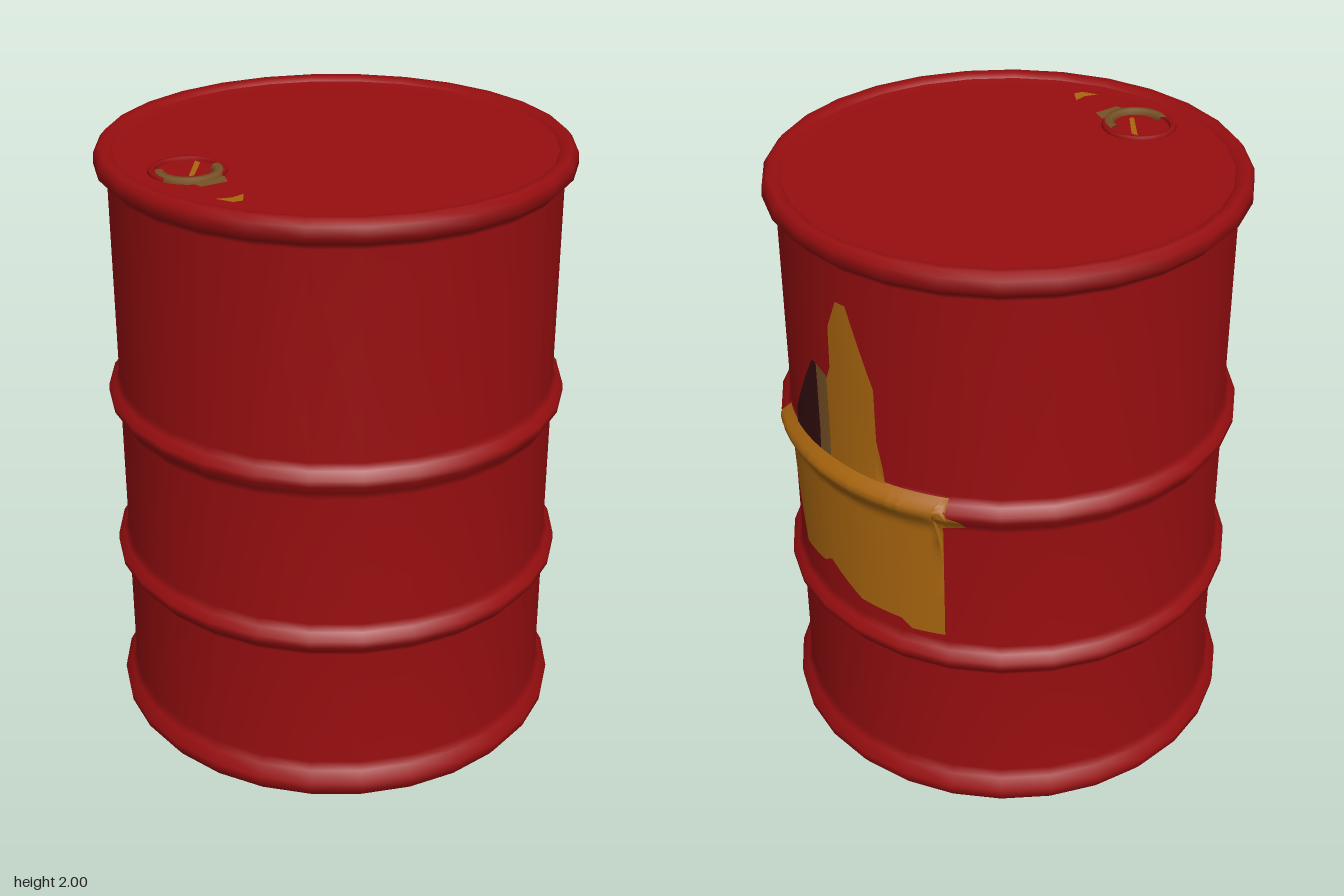
import * as THREE from 'three';

const SIDES = 28;
const mat = (name, color, side = THREE.FrontSide) => {
  const m = new THREE.MeshStandardMaterial({ color, side });
  m.name = name;
  return m;
};

// Barrel wall profile: [radius, height], bottom to top, with two hoops
const WALL = [
  [0.735, 0.0], [0.757, 0.03], [0.76, 0.06], [0.735, 0.095], [0.72, 0.12],
  [0.72, 0.54], [0.735, 0.562], [0.755, 0.588], [0.755, 0.61], [0.735, 0.633], [0.72, 0.655],
  [0.72, 1.1], [0.735, 1.13], [0.755, 1.16], [0.755, 1.182], [0.735, 1.205], [0.72, 1.225],
  [0.72, 1.9], [0.735, 1.92], [0.76, 1.945], [0.757, 1.98], [0.74, 2.0],
];

// Linear lookup in a list of [key, value] pairs sorted by falling or rising key
function lookup(list, k) {
  for (let i = 0; i < list.length - 1; i++) {
    const [k0, v0] = list[i], [k1, v1] = list[i + 1];
    if ((k - k0) * (k - k1) <= 0 && k0 !== k1) return v0 + (v1 - v0) * (k - k0) / (k1 - k0);
  }
  return list[list.length - 1][1];
}
const wallRadius = (y) => lookup(WALL.map(([r, h]) => [h, r]), y);

// Painted patch wrapped on the +x wall, between two [z, y] edges
function wallPatch(top, bottom, rows) {
  const z0 = top[0][0], z1 = top[top.length - 1][0];
  const zs = new Set([...top, ...bottom].map((p) => p[0]));
  for (let i = 0; i <= 24; i++) zs.add(z0 + (z1 - z0) * i / 24);
  const cols = [...zs].filter((z) => z <= z0 && z >= z1).sort((a, b) => b - a);
  const pos = [], idx = [];
  cols.forEach((z, i) => {
    const lo = lookup(bottom, z), hi = lookup(top, z);
    for (let j = 0; j <= rows; j++) {
      const y = lo + (hi - lo) * j / rows;
      const r = wallRadius(y) + 0.005;
      pos.push(Math.sqrt(r * r - z * z), y, z);
      if (i < cols.length - 1 && j < rows) {
        const a = i * (rows + 1) + j, b = a + rows + 1;
        idx.push(a, b, b + 1, a, b + 1, a + 1);
      }
    }
  });
  const g = new THREE.BufferGeometry();
  g.setAttribute('position', new THREE.Float32BufferAttribute(pos, 3));
  g.setIndex(idx);
  g.computeVertexNormals();
  return g;
}

// Flat painted plate on the lid from [x, z] corners
function lidPlate(points, y) {
  const g = new THREE.ShapeGeometry(new THREE.Shape(points.map(([x, z]) => new THREE.Vector2(x, -z))));
  return g.rotateX(-Math.PI / 2).translate(0, y, 0);
}

const lathe = (points) =>
  new THREE.LatheGeometry(points.map(([r, y]) => new THREE.Vector2(r, y)), SIDES);

export function createModel() {
  const model = new THREE.Group();
  model.name = 'barrel';
  const red = mat('barrelRed', 0x980e10);
  const yellow = mat('labelYellow', 0xaa660f, THREE.DoubleSide);
  const dark = mat('labelDark', 0x360e10, THREE.DoubleSide);
  const tan = mat('tan', 0x785226, THREE.DoubleSide);
  const add = (name, geometry, material, parent = model) => {
    const m = new THREE.Mesh(geometry, material);
    m.name = name;
    parent.add(m);
    return m;
  };

  // Shell with rolled rims, lid and base
  add('shell', lathe([...WALL, [0.715, 1.998], [0.7, 1.985]]), red);
  add('lid', lathe([[0.7, 1.985], [0.66, 1.98], [0, 1.98]]), red);
  add('base', lathe([[0, 0.015], [0.69, 0.015], [0.715, 0.002], [0.735, 0]]), red);

  // Worn label on the left side
  const label = new THREE.Group();
  label.name = 'label';
  model.add(label);
  add('labelBand', wallPatch(
    [[0.31, 1.19], [0.28, 1.225], [-0.46, 1.222], [-0.48, 1.17], [-0.51, 1.16]],
    [[0.31, 1.1], [0.17, 0.75], [0.03, 0.765], [-0.015, 0.795], [-0.16, 0.715], [-0.31, 0.71],
      [-0.345, 0.68], [-0.44, 0.685], [-0.442, 1.11], [-0.51, 1.13]], 28), yellow, label);
  add('labelSpike', wallPatch(
    [[-0.055, 1.5], [-0.075, 1.55], [-0.078, 1.69], [-0.12, 1.79], [-0.16, 1.79], [-0.185, 1.72],
      [-0.25, 1.54], [-0.252, 1.36], [-0.28, 1.22]],
    [[-0.055, 1.222], [-0.28, 1.219]], 4), yellow, label);
  add('labelShadowShape', wallPatch(
    [[0.18, 1.26], [0.175, 1.28], [0.025, 1.53], [0, 1.53]],
    [[0.18, 1.222], [0, 1.222]], 4), dark, label);
  add('labelStrip', wallPatch(
    [[0, 1.53], [-0.055, 1.51]], [[0, 1.222], [-0.055, 1.222]], 4), tan, label);

  // Bung in the lid with its worn paint
  const bung = new THREE.Group();
  bung.name = 'bung';
  model.add(bung);
  const ring = add('bungRing', new THREE.TorusGeometry(0.11, 0.012, 6, 20).rotateX(Math.PI / 2), red, bung);
  ring.position.set(-0.52, 1.98, -0.01);
  const arc = add('bungCollar', new THREE.TorusGeometry(0.09, 0.02, 6, 14, Math.PI * 1.15).rotateX(Math.PI / 2), tan, bung);
  arc.position.set(-0.525, 1.978, 0.01);
  add('collarPatch', lidPlate([[-0.57, 0.1], [-0.455, 0.1], [-0.47, 0.15], [-0.56, 0.15]], 1.984), tan, bung);
  add('bungStreak', lidPlate([[-0.545, 0.045], [-0.53, 0.05], [-0.455, -0.05], [-0.46, -0.075]], 1.984), yellow, bung);
  add('paintTip', lidPlate([[-0.575, 0.265], [-0.545, 0.315], [-0.515, 0.32], [-0.485, 0.27], [-0.53, 0.28]], 1.984), yellow, bung);

  return model;
}
